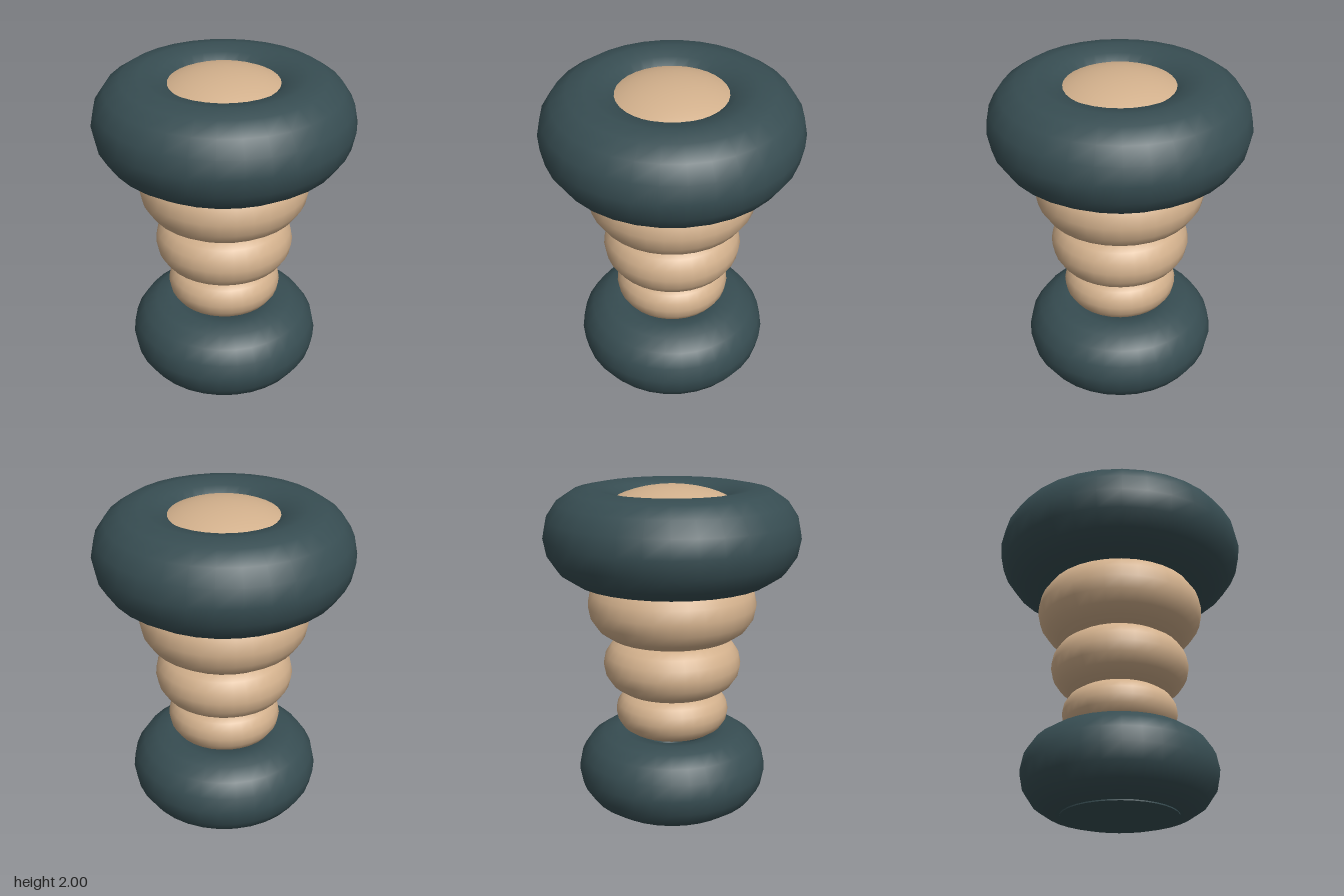
import * as THREE from 'three';

const dark = new THREE.MeshStandardMaterial({ color: 0x374d52 });
const tan = new THREE.MeshStandardMaterial({ color: 0xd2b08c });

// Stacked rings from bottom to top: outer radius, tube radius, centre height
const RINGS = [
  ['baseRing', 0.58, 0.247, 0.252, dark],
  ['lowerRing', 0.345, 0.132, 0.622, tan],
  ['middleRing', 0.418, 0.17, 0.922, tan],
  ['upperRing', 0.508, 0.203, 1.293, tan],
  ['topRing', 0.76, 0.28, 1.71, dark],
];

export function createModel() {
  const group = new THREE.Group();
  const add = (name, geometry, material, y) => {
    const mesh = new THREE.Mesh(geometry, material);
    mesh.name = name;
    mesh.position.y = y;
    group.add(mesh);
  };

  for (const [name, outer, tube, y, material] of RINGS) {
    const ring = new THREE.TorusGeometry(outer - tube, tube, 16, 32).rotateX(Math.PI / 2);
    add(name, ring, material, y);
  }

  // Flat plug closing the underside of the base
  add('basePlug', new THREE.CylinderGeometry(0.345, 0.345, 0.3, 32), dark, 0.15);

  // Shallow domed cushion filling the hole of the top ring
  const cushion = new THREE.SphereGeometry(0.48, 32, 24).scale(1, 0.25 / 0.48, 1);
  add('seatCushion', cushion, tan, 1.75);

  return group;
}
